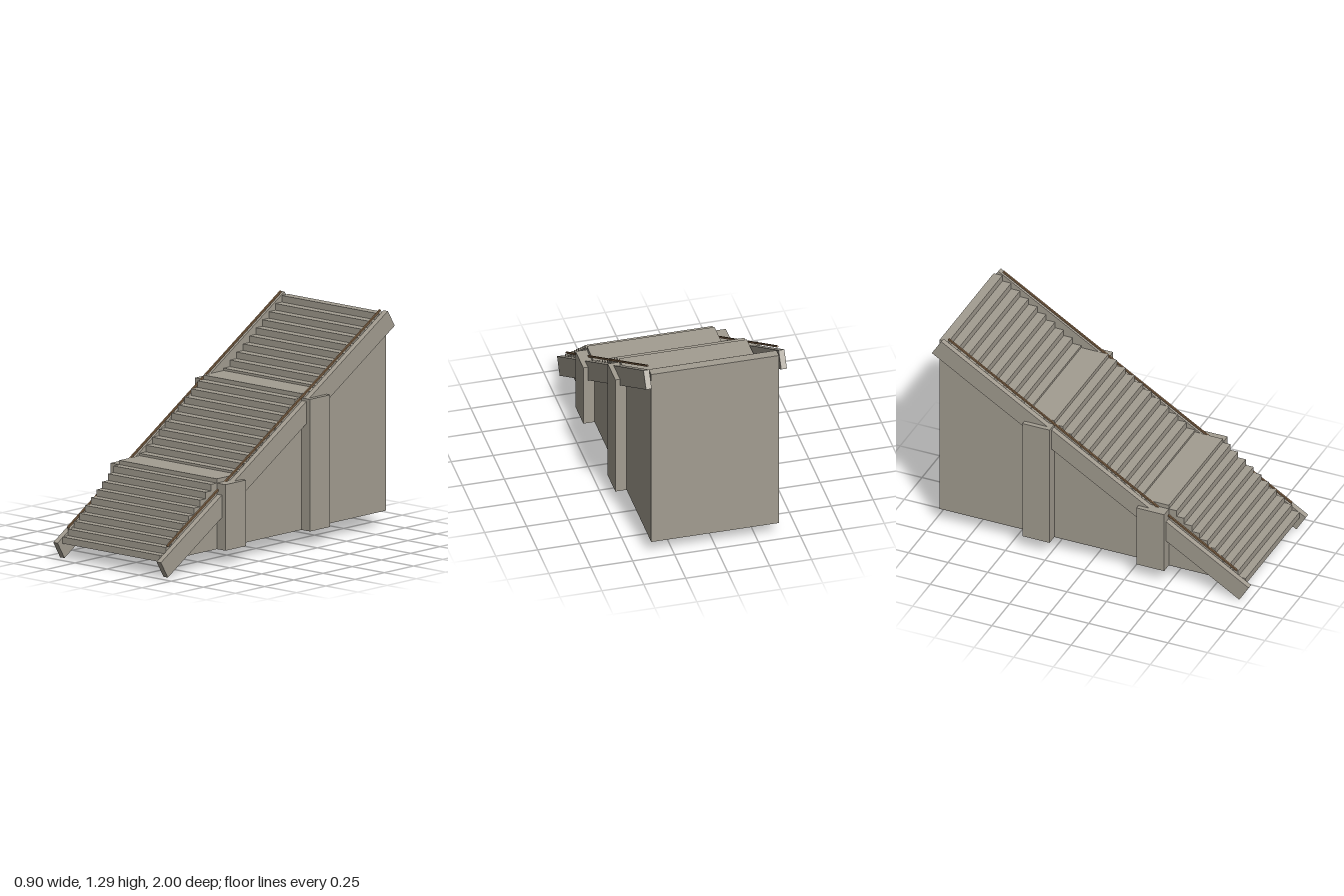
import * as THREE from 'three';

export function createModel() {
  const group = new THREE.Group();
  const concrete = new THREE.MeshStandardMaterial({ color: 0xa39d91 });
  concrete.name = 'concrete';
  const wood = new THREE.MeshStandardMaterial({ color: 0x86684a });
  wood.name = 'railWood';

  // Extrudes a side profile of [z, y] points across x, from x0 to x1
  function sidePart(name, points, x0, x1, material) {
    const shape = new THREE.Shape(points.map(([z, y]) => new THREE.Vector2(z, y)));
    const geometry = new THREE.ExtrudeGeometry(shape, { depth: x1 - x0, bevelEnabled: false });
    geometry.rotateY(-Math.PI / 2);
    geometry.translate(x1, 0, 0);
    const mesh = new THREE.Mesh(geometry, material);
    mesh.name = name;
    group.add(mesh);
  }

  const base = 0.09;
  const rise = 0.0389;
  const steps = 10;
  const back = -0.968;

  // Solid staircase: three flights with raised landing slabs between them
  const flights = [
    { start: 0.964, end: 0.479, landing: 0.304 },
    { start: 0.304, end: -0.244, landing: -0.415 },
    { start: -0.415, end: back },
  ];
  const profile = [[back, base], [0.964, base]];
  const landings = [];
  let y = base;
  for (const { start, end, landing } of flights) {
    const run = (start - end) / steps;
    for (let i = 0; i < steps; i++) {
      y += rise;
      profile.push([start - i * run, y], [start - (i + 1) * run, y]);
    }
    if (landing !== undefined) {
      profile.push([end, y + 0.025], [landing, y + 0.025]);
      landings.push({ front: end, rear: landing, top: y });
    }
  }
  sidePart('stairs', profile, -0.381, 0.381, concrete);

  // Sloping side beam, and the thin rail floating just above it
  const beam = [[1, 0.097], [-0.941, 1.275], [-1, 1.18], [0.941, 0]];
  const rail = [[0.915, 0.179], [-0.908, 1.286], [-0.913, 1.277], [0.91, 0.17]];
  for (const side of [1, -1]) {
    const place = (name, points, inner, outer, material) =>
      sidePart(name, points, side > 0 ? inner : -outer, side > 0 ? outer : -inner, material);
    const label = side > 0 ? 'left' : 'right';
    place(label + 'SideBeam', beam, 0.386, 0.42, concrete);
    place(label + 'Handrail', rail, 0.382, 0.392, wood);

    // Pilasters beside each landing
    landings.forEach(({ front, rear, top }, i) => {
      place(label + 'Pilaster' + (i + 1),
        [[rear, base], [front, base], [front, top], [rear, top]], 0.381, 0.448, concrete);
    });
  }
  return group;
}
